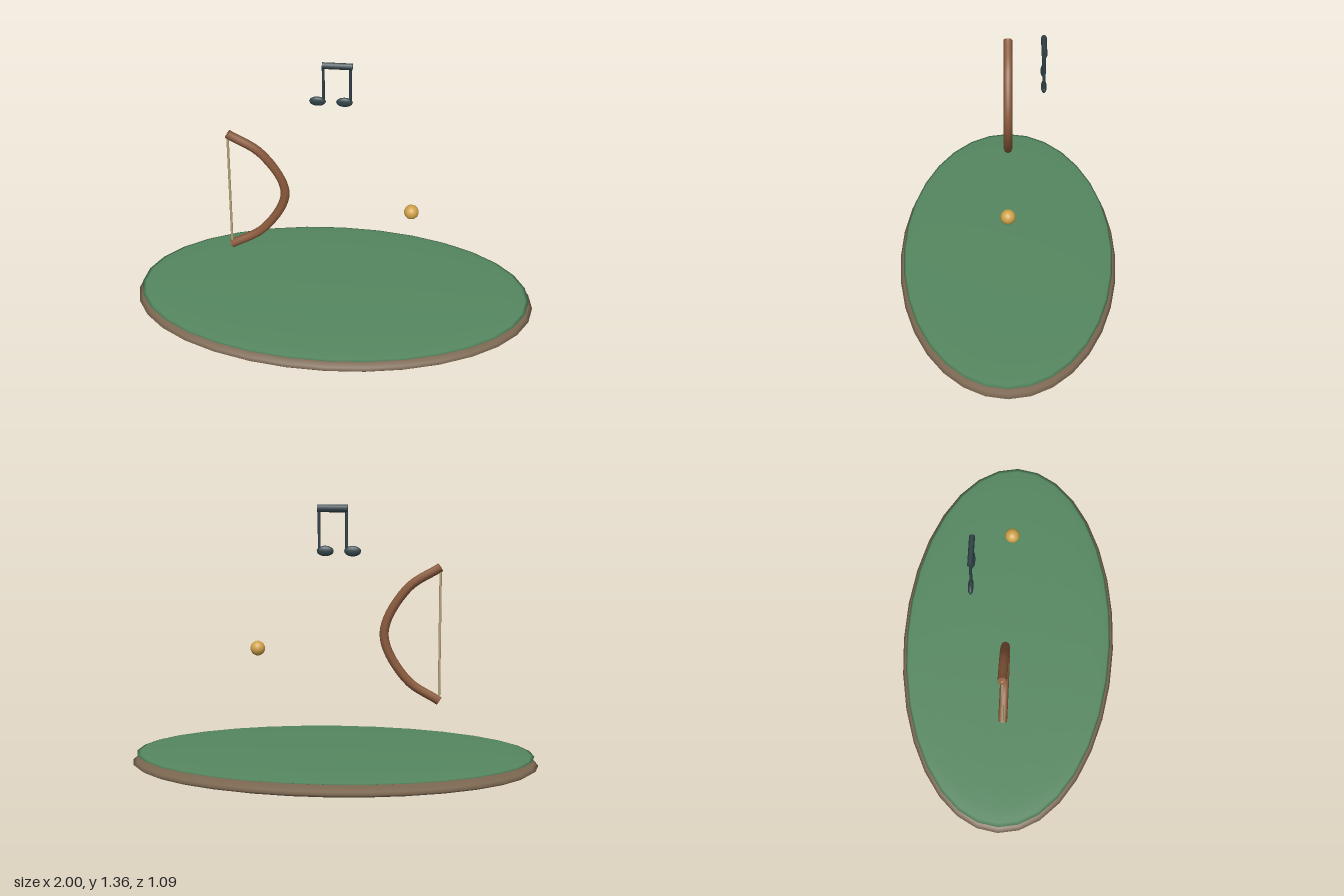
import * as THREE from 'three';

const material = (color) => new THREE.MeshStandardMaterial({ color, side: THREE.DoubleSide });

function add(parent, name, geometry, mat, x = 0, y = 0, z = 0) {
  const mesh = new THREE.Mesh(geometry, mat);
  mesh.name = name;
  mesh.position.set(x, y, z);
  parent.add(mesh);
  return mesh;
}

const ellipsoid = (rx, ry, rz, w = 32, h = 16) => new THREE.SphereGeometry(1, w, h).scale(rx, ry, rz);

export function createModel() {
  const model = new THREE.Group();
  const earth = material(0x7a6650);
  const grass = material(0x558760);
  const wood = material(0x8a5a3c);
  const cord = material(0xb8a57a);
  const gold = material(0xcfa24a);
  const slate = material(0x2f4147);

  // Oval ground: earth disc with a thinner grass layer on top
  add(model, 'earthBase', ellipsoid(1, 0.06, 0.545), earth, 0, 0.06, 0);
  add(model, 'grassTop', ellipsoid(0.98, 0.018, 0.527), grass, 0, 0.105, 0);

  // Bow: curved limb and straight string
  const bow = new THREE.Group();
  bow.name = 'bow';
  const limb = new THREE.CatmullRomCurve3(
    [[-0.51, 1.04], [-0.35, 0.933], [-0.24, 0.71], [-0.35, 0.487], [-0.51, 0.38]]
      .map(([x, y]) => new THREE.Vector3(x, y, 0)));
  add(bow, 'bowLimb', new THREE.TubeGeometry(limb, 32, 0.022, 8), wood);
  // Flat discs closing both ends of the limb
  for (const [t, sign] of [[0, -1], [1, 1]]) {
    const cap = add(bow, 'bowTip', new THREE.CircleGeometry(0.022, 8), wood);
    cap.position.copy(limb.getPoint(t));
    cap.quaternion.setFromUnitVectors(
      new THREE.Vector3(0, 0, 1), limb.getTangent(t).multiplyScalar(sign));
  }
  add(bow, 'bowString', new THREE.CylinderGeometry(0.006, 0.006, 0.66, 8), cord, -0.51, 0.71, 0);
  model.add(bow);

  // Floating golden ball
  add(model, 'ball', ellipsoid(0.036, 0.036, 0.036, 16, 12), gold, 0.375, 0.632, 0);

  // Pair of joined music notes
  const notes = new THREE.Group();
  notes.name = 'musicNotes';
  notes.position.z = -0.167;
  for (const x of [-0.067, 0.062]) {
    add(notes, 'noteHead', ellipsoid(0.04, 0.025, 0.0135, 16, 12), slate, x - 0.028, 1.14, 0);
    add(notes, 'noteStem', new THREE.CylinderGeometry(0.007, 0.007, 0.2, 8), slate, x, 1.24, 0);
  }
  const beam = new THREE.CylinderGeometry(0.018, 0.018, 0.144, 8).rotateZ(Math.PI / 2).scale(1, 1, 0.75);
  add(notes, 'noteBeam', beam, slate, 0, 1.341, 0);
  model.add(notes);

  return model;
}
